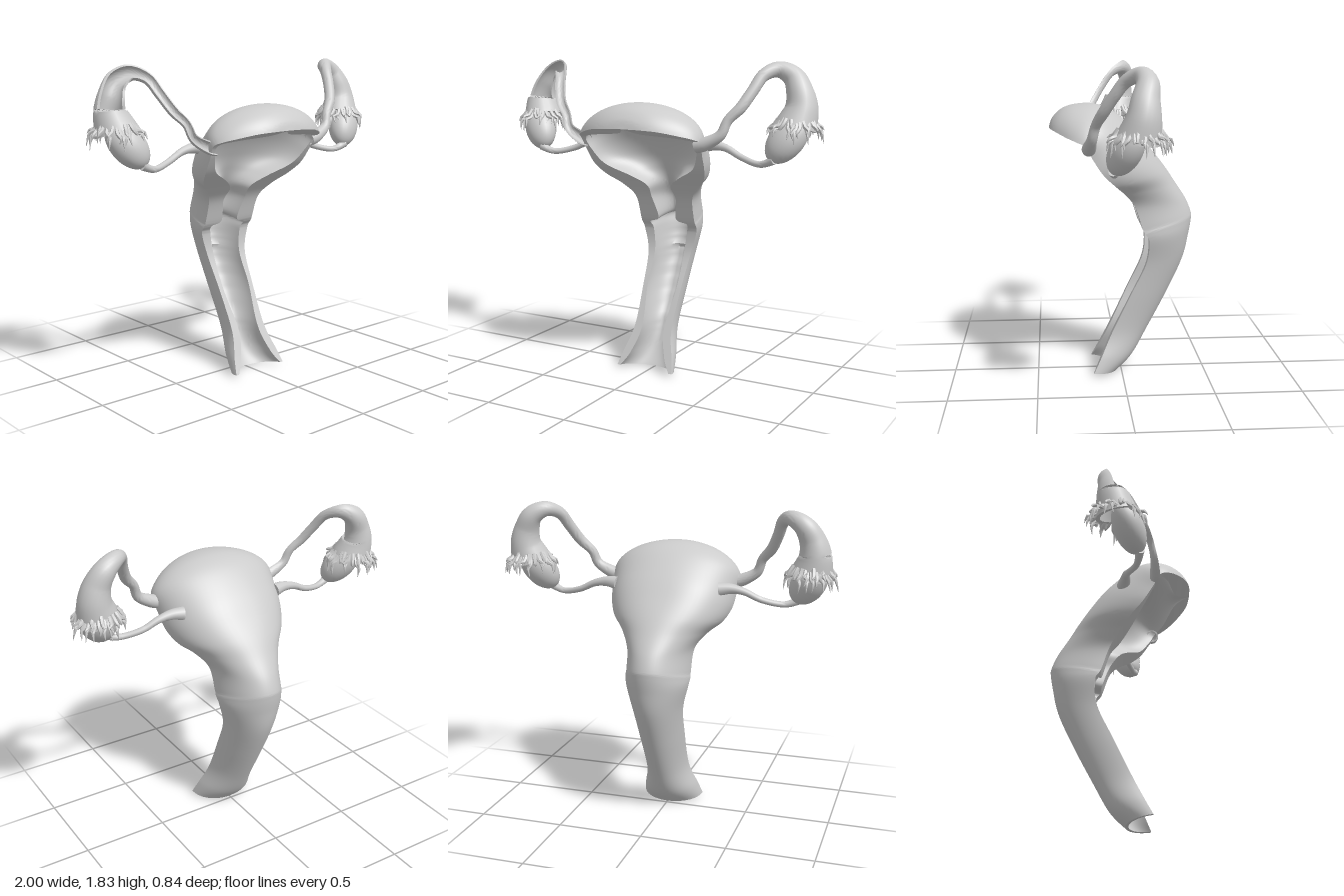
import * as THREE from 'three';
import { toCreasedNormals } from 'three/addons/utils/BufferGeometryUtils.js';

const material = new THREE.MeshStandardMaterial({ color: 0xcccccc, side: THREE.DoubleSide });

// Smoothly resample rows of numbers, column by column (Catmull-Rom)
function resample(rows, count) {
  const out = [];
  const last = rows.length - 1;
  for (let k = 0; k <= count; k++) {
    const s = (k / count) * last;
    const i = Math.min(Math.floor(s), last - 1);
    const t = s - i;
    const row = (n) => rows[Math.max(0, Math.min(last, n))];
    out.push(rows[0].map((_, c) => {
      const [a, b, d, e] = [row(i - 1)[c], row(i)[c], row(i + 1)[c], row(i + 2)[c]];
      return b + 0.5 * t * (d - a + t * (2 * a - 5 * b + 4 * d - e + t * (3 * (b - d) + e - a)));
    }));
  }
  return out;
}

// Skin a list of closed loops of equal length and cap both ends
function loft(name, loops, crease = 0.8) {
  const n = loops[0].length, m = loops.length;
  const index = [];
  const quad = (a, b, c, d) => index.push(a, b, c, a, c, d);
  for (let i = 0; i < m - 1; i++) {
    for (let j = 0; j < n; j++) {
      const k = (j + 1) % n;
      quad(i * n + j, i * n + k, (i + 1) * n + k, (i + 1) * n + j);
    }
  }
  const top = (m - 1) * n;
  for (let j = 0; j < n / 2 - 1; j++) {
    quad(n - 1 - j, n - 2 - j, j + 1, j);
    quad(top + j, top + j + 1, top + n - 2 - j, top + n - 1 - j);
  }
  const geo = new THREE.BufferGeometry();
  geo.setAttribute('position', new THREE.Float32BufferAttribute(loops.flat(2), 3));
  geo.setIndex(index);
  const mesh = new THREE.Mesh(toCreasedNormals(geo, crease), material);
  mesh.name = name;
  return mesh;
}

// Sweep along rows of [x, y, z, radius]; with bore > 0 it is a pipe,
// and gap(t) opens it on the front by that half angle
function sweep(name, rows, sides, bore = 0, gap = () => 0) {
  const loops = rows.map((row, i) => {
    const p = new THREE.Vector3(...row);
    const tangent = new THREE.Vector3(...rows[Math.min(i + 1, rows.length - 1)])
      .sub(new THREE.Vector3(...rows[Math.max(i - 1, 0)])).normalize();
    const n = new THREE.Vector3(0, 0.45, 0.9);
    n.addScaledVector(tangent, -n.dot(tangent)).normalize();
    const b = new THREE.Vector3().crossVectors(tangent, n);
    const point = (a, r) => p.clone().addScaledVector(n, r * Math.cos(a))
      .addScaledVector(b, r * Math.sin(a)).toArray();
    const loop = [];
    if (!bore) {
      for (let j = 0; j < sides; j++) loop.push(point(j / sides * Math.PI * 2, row[3]));
      return loop;
    }
    const g = gap(i / (rows.length - 1));
    const angle = (j) => g + (j / sides) * 2 * (Math.PI - g);
    for (let j = 0; j <= sides; j++) loop.push(point(angle(j), row[3]));
    for (let j = sides; j >= 0; j--) loop.push(point(angle(j), row[3] * bore));
    return loop;
  });
  return loft(name, loops);
}

// Half-open body: front rim z,y | back z,y | outer half width | inner half width | inner depth
const bodyRows = [
  [0.17, 0.02, 0.02, 0.0, 0.185, 0.165, 0.88],
  [0.13, 0.1, -0.07, 0.09, 0.165, 0.115, 0.76],
  [0.06, 0.25, -0.16, 0.25, 0.125, 0.075, 0.7],
  [-0.05, 0.48, -0.28, 0.48, 0.13, 0.1, 0.76],
  [-0.14, 0.67, -0.37, 0.68, 0.145, 0.1, 0.76],
  [-0.155, 0.81, -0.405, 0.83, 0.178, 0.115, 0.78],
  [-0.13, 0.86, -0.42, 0.92, 0.185, 0.125, 0.78],
  [-0.115, 0.89, -0.418, 0.96, 0.183, 0.06, 0.42],
  [-0.07, 1.02, -0.385, 1.04, 0.192, 0.082, 0.45],
  [-0.01, 1.1, -0.32, 1.14, 0.25, 0.08, 0.48],
  [0.05, 1.16, -0.26, 1.23, 0.325, 0.16, 0.56],
  [0.12, 1.23, -0.19, 1.32, 0.365, 0.29, 0.66],
  [0.18, 1.32, -0.09, 1.44, 0.38, 0.345, 0.72],
  [0.22, 1.39, 0.04, 1.555, 0.39, 0.36, 0.72],
  [0.27, 1.415, 0.15, 1.6, 0.37, 0.28, 0.55],
  [0.325, 1.435, 0.26, 1.6, 0.31, 0.08, 0.2],
  [0.38, 1.457, 0.34, 1.575, 0.215, 0.02, 0.06],
  [0.41, 1.466, 0.395, 1.525, 0.12, 0.01, 0.03],
  [0.418, 1.469, 0.416, 1.476, 0.01, 0.002, 0.02],
];

function body() {
  const arc = 32;
  const bump = (y, at, width) => Math.exp(-(((y - at) / width) ** 2));
  const loops = resample(bodyRows, 144).map(([fz, fy, bz, by, W, w, d]) => {
    const point = (j, half, depth, power) => {
      const a = (j / arc) * Math.PI;
      const s = Math.sin(a) * depth;
      const c = Math.cos(a);
      return [half * Math.sign(c) * Math.abs(c) ** power, fy + (by - fy) * s, fz + (bz - fz) * s];
    };
    // Fuller outer arc around the shoulders
    const power = 1 - 0.2 * bump(fy, 1.27, 0.1);
    // Soft ridges and two stronger folds on the inner wall of the lower canal
    const ridge = fy > 0.22 && fy < 0.78 ? 0.015 * Math.sin(fy * 75) : 0;
    const depth = d + ridge - 0.08 * (bump(fy, 0.27, 0.012) + bump(fy, 0.69, 0.012));
    const loop = [];
    for (let j = 0; j <= arc; j++) loop.push(point(j, W, 1, power));
    for (let j = arc; j >= 0; j--) loop.push(point(j, w, depth, 1));
    return loop;
  });
  return loft('hollowBody', loops, 0.7);
}

const tubeRows = [
  [0.355, 1.375, 0.2, 0.04],
  [0.41, 1.39, 0.2, 0.038],
  [0.495, 1.44, 0.19, 0.029],
  [0.53, 1.52, 0.17, 0.027],
  [0.59, 1.59, 0.135, 0.031],
  [0.635, 1.68, 0.08, 0.032],
  [0.67, 1.76, 0.02, 0.035],
  [0.73, 1.79, -0.05, 0.045],
  [0.805, 1.75, -0.075, 0.06],
  [0.85, 1.67, -0.06, 0.075],
  [0.865, 1.58, -0.05, 0.093],
  [0.845, 1.485, -0.03, 0.118],
];
const ligamentRows = [
  [0.31, 1.36, 0.01, 0.04],
  [0.38, 1.365, 0.02, 0.03],
  [0.46, 1.35, 0.025, 0.021],
  [0.56, 1.305, 0.04, 0.018],
  [0.68, 1.28, 0.08, 0.018],
  [0.77, 1.31, 0.095, 0.025],
];

function sideOrgans(side, opened) {
  const group = new THREE.Group();
  group.name = side > 0 ? 'leftSide' : 'rightSide';
  const flip = (rows) => rows.map(([x, ...rest]) => [side * x, ...rest]);

  // Tube widening to a funnel, cut open along its front on one side
  const gap = (t) => (opened && t < 0.89 ? Math.PI * 0.45 : 0);
  group.add(sweep('tubeAndFunnel', resample(flip(tubeRows), 80), 20, 0.8, gap));
  group.add(sweep('ligament', resample(flip(ligamentRows), 30), 12));

  // Ovary tucked in the funnel
  const ovary = new THREE.Mesh(new THREE.SphereGeometry(1, 28, 20), material);
  ovary.name = 'ovary';
  ovary.scale.set(0.098, 0.15, 0.085);
  ovary.position.set(side * 0.82, 1.42, 0.035);
  ovary.quaternion.setFromUnitVectors(new THREE.Vector3(0, 1, 0),
    new THREE.Vector3(side * 0.16, 0.25, -0.12).normalize());
  group.add(ovary);

  // Ring of irregular curled fringe fingers around the funnel rim
  const fringe = new THREE.Group();
  fringe.name = 'fringe';
  const count = 40;
  const noise = (n) => {
    const wave = Math.sin(n * 12.9898) * 43758.5453;
    return wave - Math.floor(wave);
  };
  for (let i = 0; i < count; i++) {
    const a = (i / count) * Math.PI * 2;
    const [r1, r2, r3] = [noise(i + 1), noise(i + 101), noise(i + 201)];
    const y = 1.515 - 0.035 * r2;
    const at = (r, turn, py, width) => [
      side * (0.841 + r * Math.cos(a + turn)), py, -0.032 + r * Math.sin(a + turn) * 1.08, width];
    const reach = 0.125 + 0.036 * r1;
    const turn = (r3 - 0.5) * 0.5;
    const rows = [
      at(0.095, 0, y + 0.02, 0.013),
      at(0.118, turn * 0.3, y - 0.012, 0.012),
      at((0.118 + reach) / 2 + 0.006, turn, y - 0.04 + 0.02 * r1, 0.009),
      at(reach, turn * 0.6, y - 0.03 - 0.06 * r2, 0.001),
    ];
    fringe.add(sweep('fringeFinger', resample(rows, 6), 6));
  }
  group.add(fringe);
  return group;
}

export function createModel() {
  const model = new THREE.Group();
  model.name = 'anatomyModel';
  model.add(body(), sideOrgans(1, false), sideOrgans(-1, true));
  return model;
}
